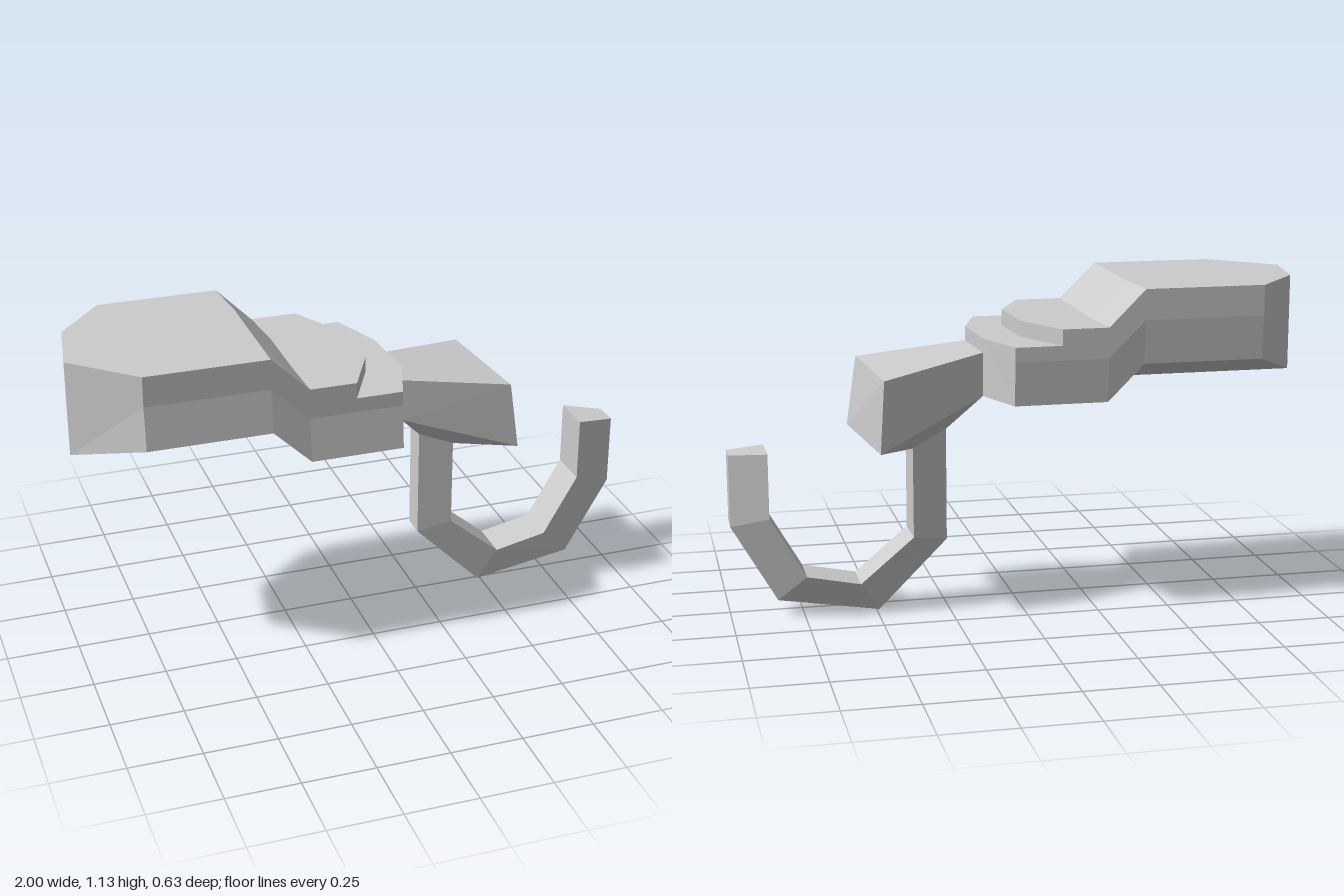
import * as THREE from 'three';

const grey = new THREE.MeshStandardMaterial({ color: 0xcccccc, flatShading: true });

// Joins equal-length loops of [x, y, z] points into a closed, faceted solid.
// Each loop turns right-handed about the direction of travel.
function loft(name, rings, startCap, endCap) {
  const pos = [];
  const va = new THREE.Vector3(), vb = new THREE.Vector3(), vc = new THREE.Vector3();
  const tri = (a, b, c) => {
    va.set(...a); vb.set(...b).sub(va); vc.set(...c).sub(va);
    if (vb.cross(vc).length() > 1e-7) pos.push(...a, ...b, ...c);
  };
  const poly = (p) => {
    for (let i = 1; i < p.length - 1; i++) tri(p[0], p[i], p[i + 1]);
  };
  const n = rings[0].length;
  for (let i = 0; i < rings.length - 1; i++) {
    for (let j = 0; j < n; j++) {
      const k = (j + 1) % n;
      poly([rings[i][j], rings[i][k], rings[i + 1][k], rings[i + 1][j]]);
    }
  }
  for (const face of startCap) poly(face.map((i) => rings[0][i]).reverse());
  for (const face of endCap) poly(face.map((i) => rings[rings.length - 1][i]));
  const geo = new THREE.BufferGeometry();
  geo.setAttribute('position', new THREE.Float32BufferAttribute(pos, 3));
  geo.computeVertexNormals();
  const mesh = new THREE.Mesh(geo, grey);
  mesh.name = name;
  return mesh;
}

// One body section; x is given for the back, inner back, inner front and front rows
function bodySection([xb, xib, xif, xf], top, mid, edgeLow, keelLow) {
  return [
    [xb, top, -0.32], [xib, top, -0.13], [xif, top, 0.11], [xf, top, 0.3],
    [xf, mid, 0.3], [xf, edgeLow, 0.315],
    [xif, keelLow, 0.11], [xib, keelLow, -0.13],
    [xb, edgeLow, -0.31], [xb, mid, -0.32],
  ];
}

// Raised pad, slope down, stepped collar
function makeBody() {
  const step = [-0.1, 0.0, 0.015, -0.08];
  const rings = [
    bodySection([-0.8, -0.96, -1, -0.79], 1.135, 1.03, 0.88, 0.805),
    bodySection([-0.385, -0.37, -0.37, -0.37], 1.135, 1.03, 0.88, 0.805),
    bodySection([-0.26, -0.245, -0.245, -0.24], 1.01, 0.905, 0.755, 0.755),
    bodySection(step, 1.01, 0.905, 0.755, 0.755),
    bodySection(step, 0.955, 0.905, 0.755, 0.755),
    bodySection([0.06, 0.13, 0.145, 0.08], 0.955, 0.905, 0.755, 0.755),
  ];
  // Faceted ends: middle panel and the two angled panels beside it
  const cap = [[1, 2, 6, 7], [2, 3, 4, 5, 6], [1, 7, 8, 9, 0]];
  return loft('body', rings, cap, cap);
}

// Where the hook leaves the underside of the neck; outer side is narrower than inner
function hookSection([xo, yo], [xi, yi]) {
  return [[xo, yo, -0.075], [xi, yi, -0.13], [xi, yi, 0.02], [xo, yo, 0.01]];
}

// Flared block, lofted from its top face down to the root of the hook
function makeNeck(root) {
  const rings = [
    [[0.13, 0.905, -0.125], [0.49, 0.85, -0.265], [0.525, 0.855, 0.165], [0.145, 0.905, 0.115]],
    [[0.13, 0.755, -0.125], [0.505, 0.602, -0.265], [0.56, 0.613, 0.165], [0.145, 0.755, 0.115]],
    root,
  ];
  return loft('neck', rings, [[0, 1, 2, 3]], [[0, 1, 2, 3]]);
}

export function createModel() {
  const group = new THREE.Group();
  group.name = 'hookedTool';

  // Outer and inner points along the hook
  const hookRings = [
    [[0.25, 0.635], [0.375, 0.585]],
    [[0.25, 0.243], [0.375, 0.27]],
    [[0.49, 0.003], [0.56, 0.115]],
    [[0.84, 0.06], [0.745, 0.153]],
    [[0.995, 0.33], [0.867, 0.365]],
    [[0.995, 0.58], [0.867, 0.59]],
  ].map(([outer, inner]) => hookSection(outer, inner));

  group.add(makeBody());
  group.add(makeNeck(hookRings[0]));
  group.add(loft('hook', hookRings, [[0, 1, 2, 3]], [[0, 1, 2, 3]]));
  return group;
}
